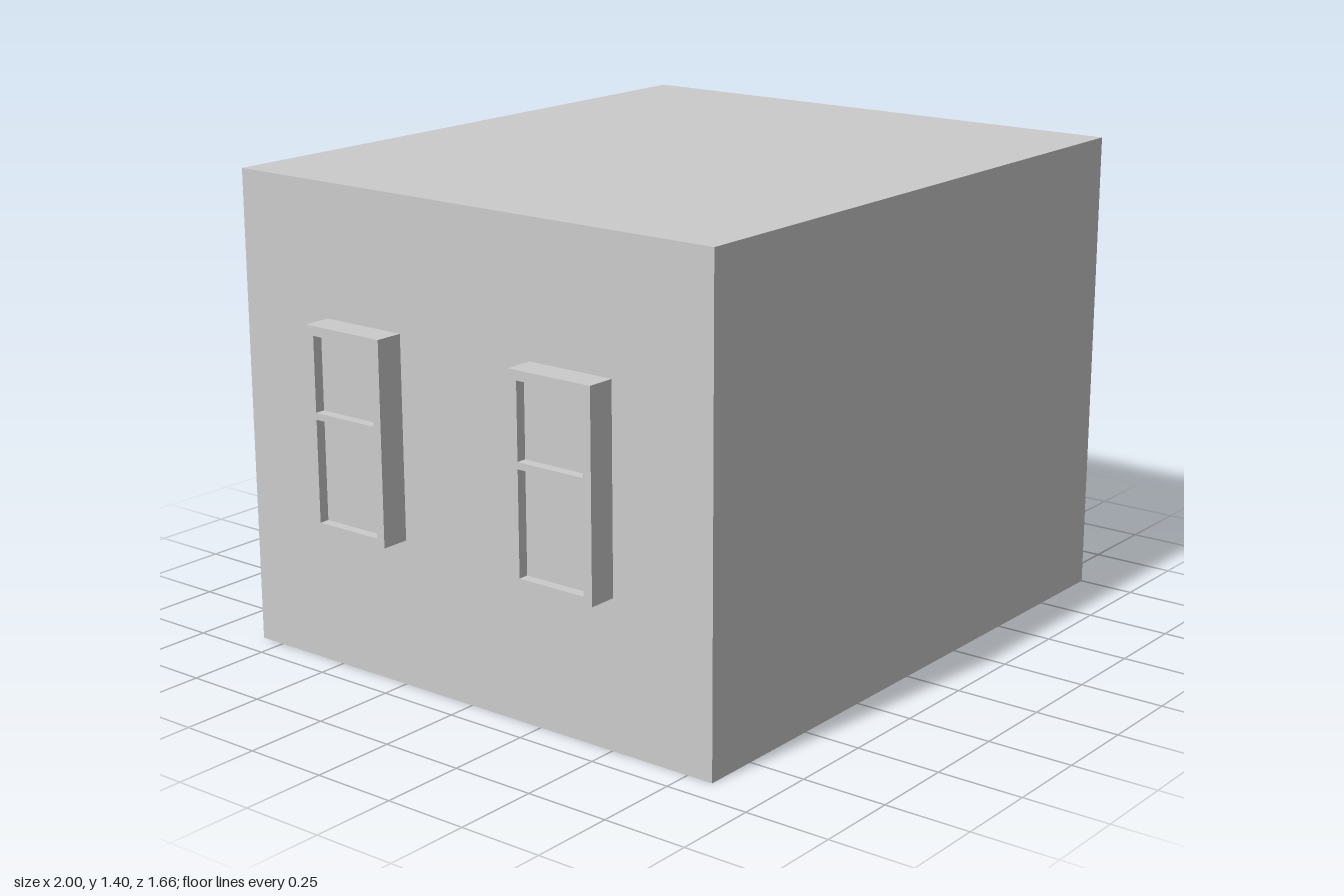
import * as THREE from 'three';

const material = new THREE.MeshStandardMaterial({ color: 0xcccccc, flatShading: true, side: THREE.DoubleSide });

const LEFT = -0.915, RIGHT = 1, RIGHT_BACK = 0.99, DEPTH = 0.83, HEIGHT = 1.405;

function addMesh(parent, name, geometry) {
  const mesh = new THREE.Mesh(geometry, material);
  mesh.name = name;
  parent.add(mesh);
  return mesh;
}

const outline = (points) => points.map(([a, b]) => new THREE.Vector2(a, b));
const rect = (a0, b0, a1, b1) => outline([[a0, b0], [a1, b0], [a1, b1], [a0, b1]]);

function sheet(points, holes = []) {
  const shape = new THREE.Shape(points);
  shape.holes = holes.map((hole) => new THREE.Path(hole));
  return new THREE.ShapeGeometry(shape);
}

// Sheet facing -x: the drawing's horizontal axis becomes +z
function sideSheet(points, holes, x) {
  return sheet(points, holes).rotateY(-Math.PI / 2).translate(x, 0, 0);
}

// Open rectangular sleeve running along x
function sleeve(z0, y0, z1, y1, x0, x1) {
  const corners = [[z0, y0], [z1, y0], [z1, y1], [z0, y1]];
  const positions = [], index = [];
  corners.forEach(([z, y], i) => {
    const [zn, yn] = corners[(i + 1) % 4];
    positions.push(x0, y, z, x0, yn, zn, x1, yn, zn, x1, y, z);
    const k = i * 4;
    index.push(k, k + 1, k + 2, k, k + 2, k + 3);
  });
  const geometry = new THREE.BufferGeometry();
  geometry.setAttribute('position', new THREE.Float32BufferAttribute(positions, 3));
  geometry.setIndex(index);
  geometry.computeVertexNormals();
  return geometry;
}

// Box window: casing, front frame with two openings, recessed panes
const WINDOW = { half: 0.1375, y0: 0.43, y1: 1.02, face: -1, pane: -0.97 };

function createWindow(z) {
  const group = new THREE.Group();
  group.name = 'window';
  const { half, y0, y1, face, pane } = WINDOW;
  const inner = half - 0.028;
  const openings = [[0.453, 0.753], [0.773, 0.992]];
  addMesh(group, 'windowCasing', sleeve(-half, y0, half, y1, face, LEFT));
  addMesh(group, 'windowFrame', sideSheet(
    rect(-half, y0, half, y1),
    openings.map(([a, b]) => rect(-inner, a, inner, b)),
    face
  ));
  for (const [a, b] of openings) {
    addMesh(group, 'windowReveal', sleeve(-inner, a, inner, b, face, pane));
    addMesh(group, 'windowPane', sideSheet(rect(-inner, a, inner, b), [], pane));
  }
  group.position.z = z;
  return group;
}

export function createModel() {
  const model = new THREE.Group();
  model.name = 'room';

  // Floor and roof, slightly narrower at the back
  const plan = outline([[LEFT, -DEPTH], [RIGHT, -DEPTH], [RIGHT_BACK, DEPTH], [LEFT, DEPTH]]);
  addMesh(model, 'floor', sheet(plan).rotateX(-Math.PI / 2));
  addMesh(model, 'roof', sheet(plan).rotateX(-Math.PI / 2).translate(0, HEIGHT, 0));

  // Front and back walls
  addMesh(model, 'frontWall', sheet(rect(LEFT, 0, RIGHT, HEIGHT)).translate(0, 0, DEPTH));
  addMesh(model, 'backWall', sheet(rect(-RIGHT_BACK, 0, -LEFT, HEIGHT)).rotateY(Math.PI).translate(0, 0, -DEPTH));

  // Wall with the doorway, facing +x and skewed to follow the plan
  const doorWall = sheet(outline([
    [-DEPTH, 0], [-0.73, 0], [-0.73, 1.02], [-0.378, 1.02], [-0.378, 0],
    [DEPTH, 0], [DEPTH, HEIGHT], [-DEPTH, HEIGHT]
  ])).rotateY(Math.PI / 2);
  const p = doorWall.attributes.position;
  for (let i = 0; i < p.count; i++) {
    const t = (p.getZ(i) + DEPTH) / (2 * DEPTH);
    p.setX(i, THREE.MathUtils.lerp(RIGHT_BACK, RIGHT, t));
  }
  doorWall.computeVertexNormals();
  addMesh(model, 'doorWall', doorWall);

  // Wall with two window openings
  const windowCentres = [-0.372, 0.368];
  const { half, y0, y1 } = WINDOW;
  addMesh(model, 'windowWall', sideSheet(
    rect(-DEPTH, 0, DEPTH, HEIGHT),
    windowCentres.map((z) => rect(z - half, y0, z + half, y1)),
    LEFT
  ));
  for (const z of windowCentres) model.add(createWindow(z));

  return model;
}
